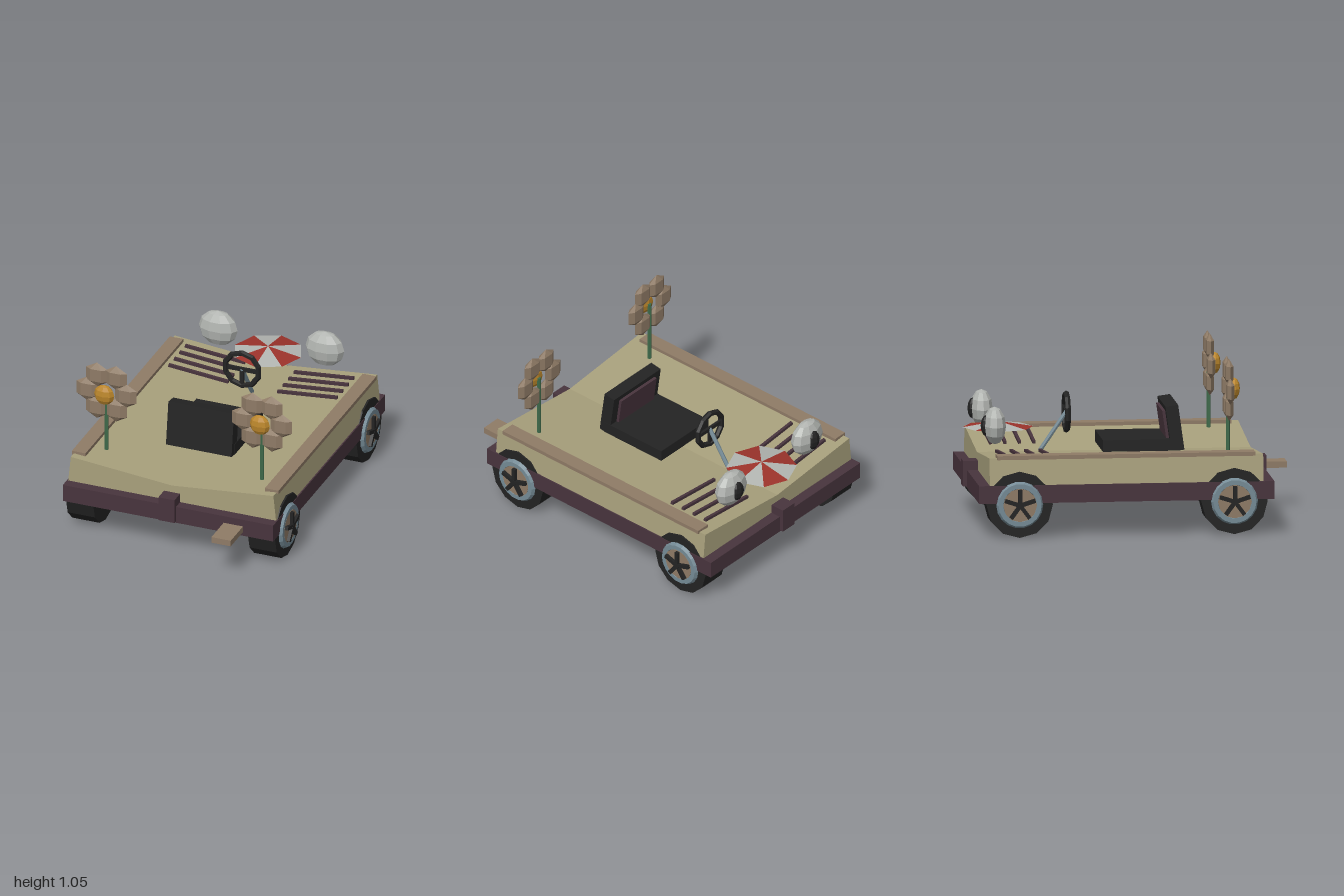
import * as THREE from 'three';

const mat = (name, color, side = THREE.FrontSide) => {
  const m = new THREE.MeshStandardMaterial({ color, side });
  m.name = name;
  return m;
};

export function createModel() {
  const khaki = mat('khaki', 0xa8a07c), plum = mat('plum', 0x48343d), tan = mat('tan', 0x8f7b66);
  const black = mat('black', 0x232323), steel = mat('steel', 0x758b96), pale = mat('pale', 0xb2b5b1, THREE.DoubleSide);
  const red = mat('red', 0x9c332b, THREE.DoubleSide), green = mat('green', 0x3f6b4b), amber = mat('amber', 0xbb862b);

  const car = new THREE.Group();
  car.name = 'buggy';

  // faceted mesh helper
  const add = (parent, name, geo, material, x = 0, y = 0, z = 0) => {
    const g = geo.index ? geo.toNonIndexed() : geo;
    g.computeVertexNormals();
    const mesh = new THREE.Mesh(g, material);
    mesh.name = name;
    mesh.position.set(x, y, z);
    parent.add(mesh);
    return mesh;
  };
  // box from its minimum and maximum corners
  const box = (parent, name, material, x0, x1, y0, y1, z0, z1) =>
    add(parent, name, new THREE.BoxGeometry(x1 - x0, y1 - y0, z1 - z0), material,
      (x0 + x1) / 2, (y0 + y1) / 2, (z0 + z1) / 2);
  const ball = (w, h, rx, ry, rz) => new THREE.SphereGeometry(1, w, h).scale(rx, ry, rz);

  // chassis, bumper blocks and exhaust
  box(car, 'chassis', plum, -0.68, 0.68, 0.21, 0.318, -0.975, 0.805);
  box(car, 'frontBumperBlock', plum, -0.052, 0.052, 0.22, 0.375, 0.735, 0.83);
  box(car, 'backBumperBlock', plum, -0.052, 0.052, 0.22, 0.375, -1, -0.91);
  box(car, 'exhaust', tan, 0.36, 0.485, 0.235, 0.273, 0.78, 1);

  // body with a shallow V-shaped top
  const section = new THREE.Shape([[-0.672, 0.315], [0.672, 0.315], [0.655, 0.482], [0, 0.42], [-0.655, 0.482]]
    .map(p => new THREE.Vector2(...p)));
  add(car, 'body', new THREE.ExtrudeGeometry(section, { depth: 1.65, bevelEnabled: false }), khaki, 0, 0, -0.91);

  // side rails and vent strips
  for (const s of [-1, 1]) {
    add(car, 'sideRail', new THREE.BoxGeometry(0.088, 0.024, 1.555), tan, s * 0.624, 0.484, -0.087);
    for (const z of [-0.81, -0.722, -0.635, -0.548]) {
      const vent = add(car, 'ventStrip', new THREE.BoxGeometry(0.388, 0.018, 0.018), plum, s * 0.352, 0.467, z);
      vent.rotation.z = s * 0.093;
    }
  }

  // wheels, built facing +x
  const makeWheel = (s, z) => {
    const wheel = new THREE.Group();
    wheel.name = 'wheel';
    const disc = (r, w, n) => new THREE.CylinderGeometry(r, r, w, n).rotateZ(Math.PI / 2);
    add(wheel, 'tyre', disc(0.2, 0.176, 12), black, 0.588);
    add(wheel, 'rimRing', new THREE.TorusGeometry(0.116, 0.028, 6, 18).rotateY(Math.PI / 2), steel, 0.672);
    add(wheel, 'hubDisc', disc(0.102, 0.04, 12), tan, 0.676);
    add(wheel, 'hubCap', disc(0.02, 0.028, 8), black, 0.704);
    for (let i = 0; i < 5; i++) {
      const spoke = add(wheel, 'spoke', new THREE.BoxGeometry(0.024, 0.095, 0.024).translate(0, 0.048, 0), black, 0.704);
      spoke.rotation.x = i * Math.PI * 2 / 5;
    }
    wheel.position.set(0, 0.2, z);
    if (s < 0) wheel.rotation.y = Math.PI;
    car.add(wheel);
  };
  for (const s of [-1, 1]) for (const z of [0.565, -0.73]) makeWheel(s, z);

  // seat
  const seat = new THREE.Group();
  seat.name = 'seat';
  car.add(seat);
  box(seat, 'seatBase', black, -0.215, 0.215, 0.44, 0.51, -0.175, 0.28);
  const back = new THREE.Group();
  back.name = 'seatBack';
  back.position.set(0, 0.44, 0.28);
  back.rotation.x = -0.14;
  seat.add(back);
  box(back, 'backrest', black, -0.212, 0.212, 0, 0.275, -0.04, 0.037);
  box(back, 'backCushion', plum, -0.16, 0.16, 0.06, 0.245, -0.058, -0.03);

  // steering wheel and column
  const steering = new THREE.Group();
  steering.name = 'steering';
  steering.position.set(0, 0.655, -0.372);
  car.add(steering);
  add(steering, 'steeringWheel', new THREE.TorusGeometry(0.11, 0.018, 6, 10).rotateZ(Math.PI / 10), black);
  add(steering, 'crossBar', new THREE.BoxGeometry(0.21, 0.024, 0.016), black);
  add(steering, 'lowerBar', new THREE.BoxGeometry(0.024, 0.1, 0.016), black, 0, -0.05, 0);
  const column = add(steering, 'column', new THREE.CylinderGeometry(0.013, 0.013, 0.29, 8), steel, 0, -0.115, -0.079);
  column.rotation.x = 0.6;

  // eye-shaped lamps looking backwards
  for (const s of [-1, 1]) {
    add(car, 'lamp', ball(10, 6, 0.125, 0.114, 0.067), pale, s * 0.345, 0.633, -0.843);
    add(car, 'lampPupil', ball(8, 6, 0.047, 0.065, 0.035), black, s * 0.345, 0.633, -0.893);
  }

  // parasol of eight alternating panels
  const parasol = new THREE.Group();
  parasol.name = 'parasol';
  car.add(parasol);
  for (let i = 0; i < 8; i++) {
    add(parasol, 'parasolPanel', new THREE.ConeGeometry(0.213, 0.035, 1, 1, true, i * Math.PI / 4, Math.PI / 4),
      i % 2 ? red : pale, 0, 0.589, -0.784);
  }

  // flowers
  for (const s of [-1, 1]) {
    const flower = new THREE.Group();
    flower.name = 'flower';
    flower.position.set(s * 0.503, 0.857, 0.545);
    car.add(flower);
    add(flower, 'stem', new THREE.CylinderGeometry(0.012, 0.012, 0.42, 6), green, 0, -0.2, 0);
    add(flower, 'flowerCentre', ball(8, 6, 0.065, 0.065, 0.035), amber, 0, 0, 0.037);
    for (let i = 0; i < 6; i++) {
      const a = i * Math.PI / 3;
      add(flower, 'petal', ball(6, 3, 0.081, 0.081, 0.029), tan, Math.cos(a) * 0.124, Math.sin(a) * 0.124, 0);
    }
  }
  return car;
}
